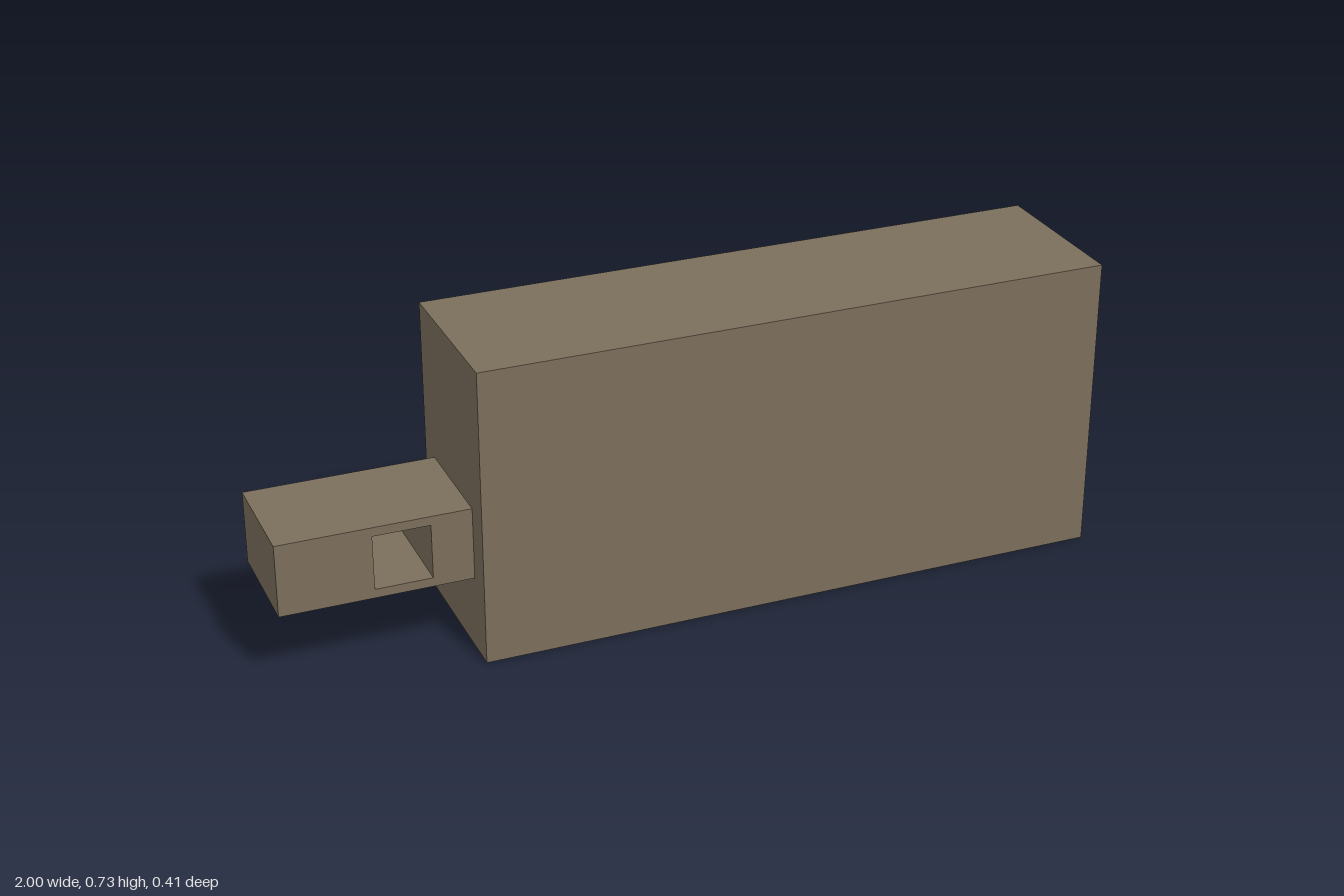
import * as THREE from 'three';

// Rectangle outline from corner to corner
function rectangle(Type, x0, y0, x1, y1) {
  return new Type([
    new THREE.Vector2(x0, y0), new THREE.Vector2(x1, y0),
    new THREE.Vector2(x1, y1), new THREE.Vector2(x0, y1),
  ]);
}

export function createModel() {
  const group = new THREE.Group();
  group.name = 'block with pierced lug';
  const brown = new THREE.MeshStandardMaterial({ color: 0x7b6f5c });
  brown.name = 'dull brown';

  // Main block
  const body = new THREE.Mesh(new THREE.BoxGeometry(1.545, 0.728, 0.406), brown);
  body.name = 'body';
  body.position.set(0.2275, 0.364, 0);
  group.add(body);

  // Lug on the right end, with a square hole running front to back
  const outline = rectangle(THREE.Shape, -1, 0.186, -0.545, 0.364);
  outline.holes.push(rectangle(THREE.Path, -0.778, 0.208, -0.642, 0.342));
  const depth = 0.272;
  const lugGeometry = new THREE.ExtrudeGeometry(outline, { depth, bevelEnabled: false });
  lugGeometry.translate(0, 0, -depth / 2);
  const lug = new THREE.Mesh(lugGeometry, brown);
  lug.name = 'lug';
  group.add(lug);

  return group;
}
